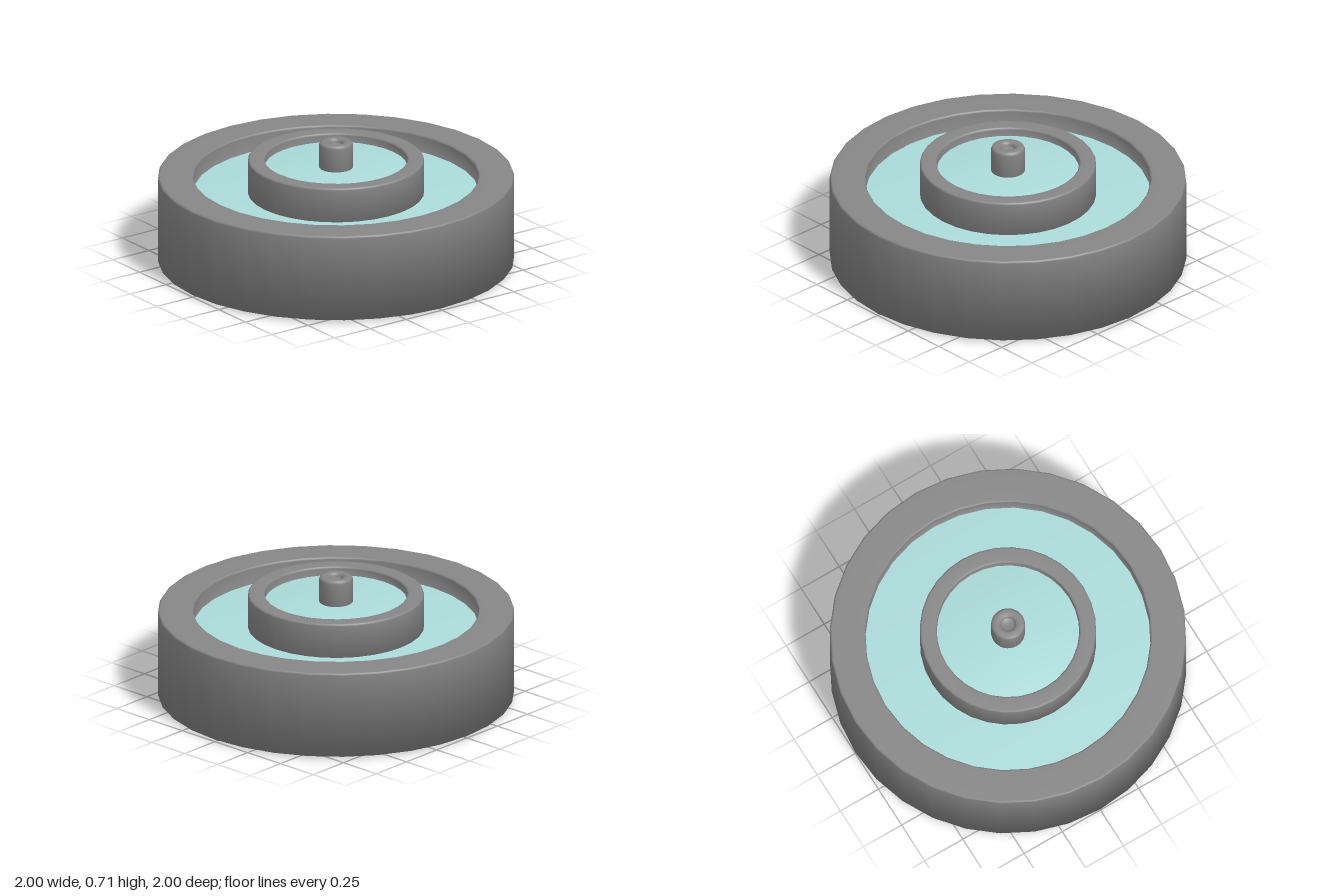
import * as THREE from 'three';

const SIDES = 32;
const stone = new THREE.MeshStandardMaterial({ color: 0x868686 });
const water = new THREE.MeshStandardMaterial({ color: 0xacdada });
const brass = new THREE.MeshStandardMaterial({ color: 0xb8913a });

// Turned solid from a [radius, height] profile
function turned(name, profile, material) {
  const points = profile.map(([r, y]) => new THREE.Vector2(r, y));
  const mesh = new THREE.Mesh(new THREE.LatheGeometry(points, SIDES), material);
  mesh.name = name;
  return mesh;
}

// Cup with bevelled lips: outer radius, inner radius, base, floor, top, bevel
function cup(name, outer, inner, base, floor, top, bevel) {
  return turned(name, [
    [0, base], [outer, base],
    [outer, top - bevel], [outer - bevel * 0.3, top - bevel * 0.3], [outer - bevel, top],
    [inner + bevel, top], [inner + bevel * 0.3, top - bevel * 0.3], [inner, top - bevel],
    [inner, floor], [0, floor],
  ], stone);
}

// Water sheet with a softly rounded edge
function pool(name, radius, level) {
  return turned(name, [[radius, level - 0.05], [radius, level], [0, level]], water);
}

export function createModel() {
  const fountain = new THREE.Group();
  fountain.name = 'fountain';

  // Wide lower basin and its water
  fountain.add(cup('lowerBasin', 1, 0.8, 0.012, 0.3, 0.51, 0.012));
  fountain.add(pool('lowerWater', 0.8, 0.41));

  // Raised upper basin and its water
  fountain.add(cup('upperBasin', 0.495, 0.4, 0.3, 0.48, 0.61, 0.012));
  fountain.add(pool('upperWater', 0.4, 0.56));

  // Central spout with a hollow tip
  fountain.add(cup('spout', 0.095, 0.038, 0.48, 0.68, 0.712, 0.018));

  // Small drain plug under the base
  const plug = new THREE.Mesh(new THREE.CylinderGeometry(0.06, 0.06, 0.03, SIDES), brass);
  plug.name = 'drainPlug';
  plug.position.y = 0.015;
  fountain.add(plug);

  return fountain;
}
